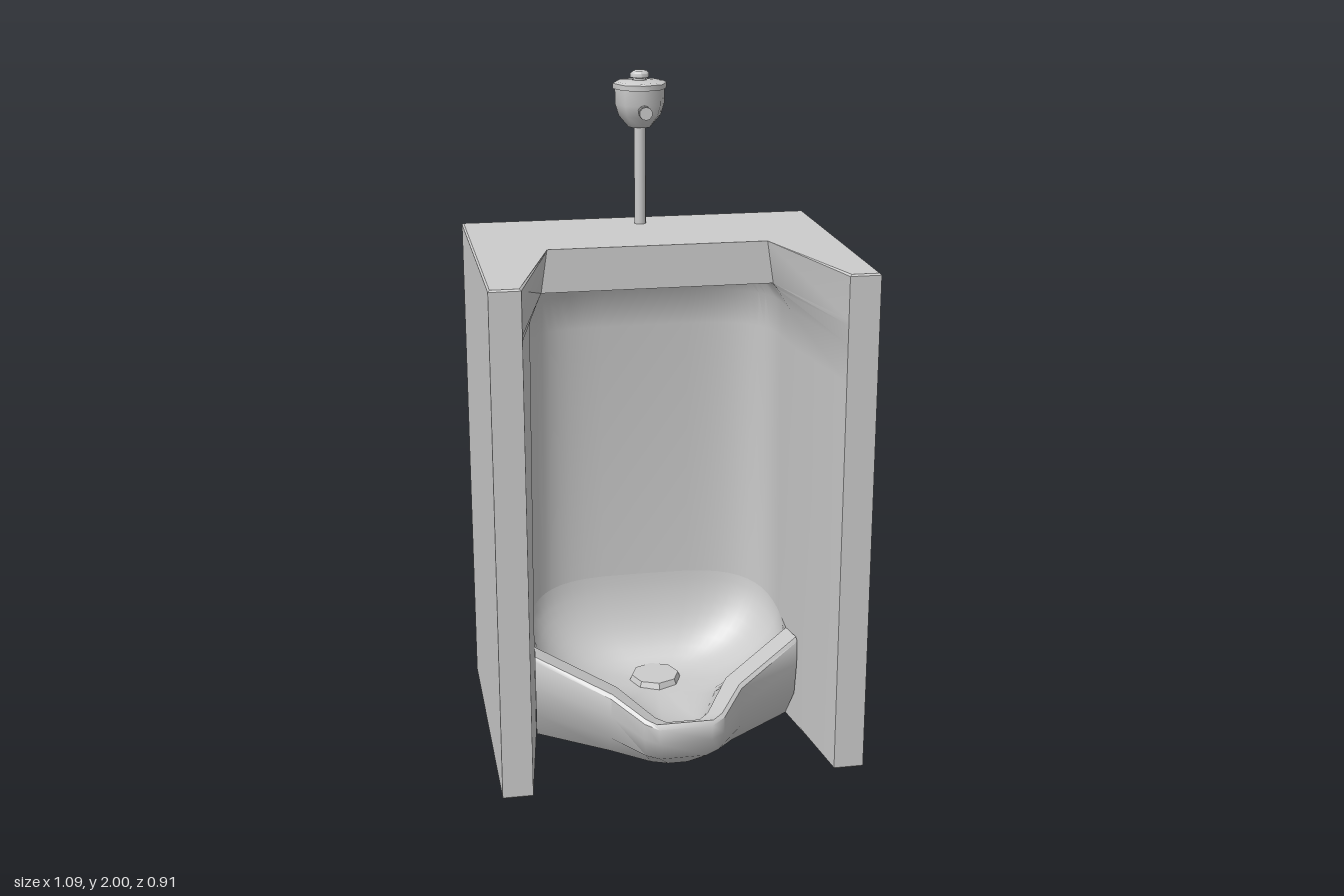
import * as THREE from 'three';
import { toCreasedNormals } from 'three/addons/utils/BufferGeometryUtils.js';

const material = new THREE.MeshStandardMaterial({ color: 0xcccccc });
const V = (x, y, z) => new THREE.Vector3(x, y, z);

function addMesh(parent, geometry, name, x = 0, y = 0, z = 0) {
  const mesh = new THREE.Mesh(geometry, material);
  mesh.name = name;
  mesh.position.set(x, y, z);
  parent.add(mesh);
  return mesh;
}

// Skin a list of equally long rows of points
function loft(rows, closed, crease) {
  const n = rows[0].length;
  const index = [];
  for (let j = 0; j < rows.length - 1; j++) {
    for (let i = 0; i < (closed ? n : n - 1); i++) {
      const k = (i + 1) % n;
      const a = j * n + i, b = j * n + k, c = b + n, d = a + n;
      index.push(a, b, d, b, c, d);
    }
  }
  const geometry = new THREE.BufferGeometry().setFromPoints(rows.flat());
  geometry.setIndex(index);
  return toCreasedNormals(geometry, crease);
}

// Flat horizontal face from plan points, facing up or down
function cap(points, up) {
  const s = up ? -1 : 1;
  const shape = new THREE.Shape(points.map(p => new THREE.Vector2(p.x, s * p.z)));
  return new THREE.ShapeGeometry(shape).rotateX(s * Math.PI / 2);
}

// Rounded plan curve of the recess, from +x to -x round the back
function recess(y, w, zFront, depth, rise = 0) {
  const pts = [], n = 24, p = 0.52;
  for (let i = 0; i <= n; i++) {
    const a = Math.PI * i / n, c = Math.cos(a), s = Math.max(0, Math.sin(a));
    pts.push(V(w * Math.sign(c) * Math.abs(c) ** p, y + rise * s, zFront - depth * s ** p));
  }
  return pts;
}

// Wing tips and back corners, from -x to +x, drawn in by e for the bevel
function outerCorners(y, e) {
  const front = 0.455 - e, side = 0.545 - e, back = -0.415 + e;
  return [
    V(-0.455 - e, y, front), V(-side, y, front), V(-side, y, back),
    V(side, y, back), V(side, y, front), V(0.455 + e, y, front),
  ];
}

// Mirrored front line of the bowl, from +x to -x
function bowlLine(half, height) {
  const right = half.map(([x, z]) => V(x, height(x), z));
  const left = half.map(([x, z]) => V(-x, height(x), z)).reverse();
  return [...right, ...left];
}

export function createModel() {
  const model = new THREE.Group();
  model.name = 'urinal';

  // Cabinet with side wings, lintel and recess: height, half width, front z, depth, bevel
  const body = new THREE.Group();
  body.name = 'body';
  model.add(body);
  const bevel = 0.005;
  const rings = [
    [1.53, 0.33, 0, 0, bevel], [1.525, 0.331, 0, 0, 0], [1.40, 0.35, 0, 0, 0],
    [1.385, 0.36, 0.015, 0.2, 0], [1.33, 0.39, 0.05, 0.28, 0], [1.22, 0.393, 0.06, 0.31, 0],
    [0.34, 0.40, 0.06, 0.31, 0], [bevel, 0.40, 0.06, 0.31, 0], [0, 0.40, 0.06, 0.31, bevel],
  ].map(([y, w, z, depth, e]) => [...recess(y, w, z, depth), ...outerCorners(y, e)]);
  addMesh(body, loft(rings, true, 0.6), 'bodyWalls');
  addMesh(body, cap(rings[0], true), 'bodyTop', 0, 1.53, 0);

  // Bowl front: rolled rim, bulging outer wall, flat foot
  const rimY = x => 0.19 + Math.max(0, x - 0.07) * 0.33;
  const inner = [[0.40, 0.055], [0.17, 0.22], [0.08, 0.38], [0.05, 0.41]];
  const crest = [[0.408, 0.15], [0.195, 0.30], [0.115, 0.425], [0.085, 0.445]];
  const outer = [[0.41, 0.16], [0.20, 0.31], [0.12, 0.435], [0.08, 0.455]];
  const belly = [[0.408, 0.145], [0.20, 0.29], [0.11, 0.40], [0.07, 0.42]];
  const foot = [[0.40, 0.07], [0.19, 0.22], [0.08, 0.31], [0.03, 0.33]];
  const innerLine = bowlLine(inner, x => rimY(x) - 0.008);
  const footLine = bowlLine(foot, () => 0);
  addMesh(model, loft([
    innerLine,
    bowlLine(crest, rimY),
    bowlLine(outer, x => rimY(x) - 0.012),
    bowlLine(outer, x => rimY(x) * 0.7),
    bowlLine(belly, x => rimY(x) * 0.35),
    footLine,
  ], false, 0.8), 'bowlFront');

  // Bowl basin: rim outline shrinking down to the drain, steep at the rim
  const edge = [...innerLine.reverse(), ...recess(0.30, 0.40, 0.06, 0.31, 0.08).slice(1, -1)];
  const centre = V(0, 0.09, -0.06);
  const basin = [];
  for (let j = 0; j <= 12; j++) {
    const s = Math.cos(Math.PI * j / 24);
    const lift = 1 - (1 - s ** 2.5) ** 0.6;
    basin.push(edge.map(p => {
      const q = centre.clone().lerp(p, s);
      q.y = centre.y + (p.y - centre.y) * lift;
      return q;
    }));
  }
  addMesh(model, loft(basin, true, 1.0), 'bowlBasin');
  addMesh(model, toCreasedNormals(new THREE.CylinderGeometry(0.075, 0.083, 0.02, 8), 0.5),
    'drain', 0, 0.1, -0.063);

  // Underside of cabinet and bowl together
  addMesh(body, cap([...footLine, ...outerCorners(0, bevel)], false), 'bodyBottom');

  // Flush valve on its pipe
  const valve = new THREE.Group();
  valve.name = 'flushValve';
  valve.position.z = -0.318;
  model.add(valve);
  const lathe = (profile, sides) => toCreasedNormals(
    new THREE.LatheGeometry(profile.map(p => new THREE.Vector2(...p)), sides), 0.85);
  addMesh(valve, new THREE.CylinderGeometry(0.018, 0.018, 0.33, 12), 'flushPipe', 0, 1.685, 0);
  addMesh(valve, lathe([
    [0, 1.83], [0.035, 1.83], [0.065, 1.865], [0.076, 1.9], [0.077, 1.947],
    [0.083, 1.947], [0.083, 1.963], [0.075, 1.968], [0.022, 1.972],
  ], 8), 'valveBody');
  addMesh(valve, lathe([
    [0.02, 1.968], [0.02, 1.978], [0.029, 1.98], [0.029, 1.992], [0.02, 2], [0, 2],
  ], 8), 'valveCap');

  // Hollow supply outlet at the back, push button at the front
  addMesh(valve, lathe([
    [0.032, 0.02], [0.032, 0.137], [0.027, 0.137], [0.027, 0.07], [0, 0.07],
  ], 12).rotateX(-Math.PI / 2), 'supplyOutlet', 0, 1.915, 0);
  addMesh(valve, lathe([
    [0.014, 0.06], [0.014, 0.078], [0.02, 0.08], [0.02, 0.094], [0.014, 0.096],
    [0.014, 0.102], [0.02, 0.104], [0.02, 0.113], [0, 0.113],
  ], 10).rotateX(Math.PI / 2), 'pushButton', 0, 1.885, 0);

  return model;
}
